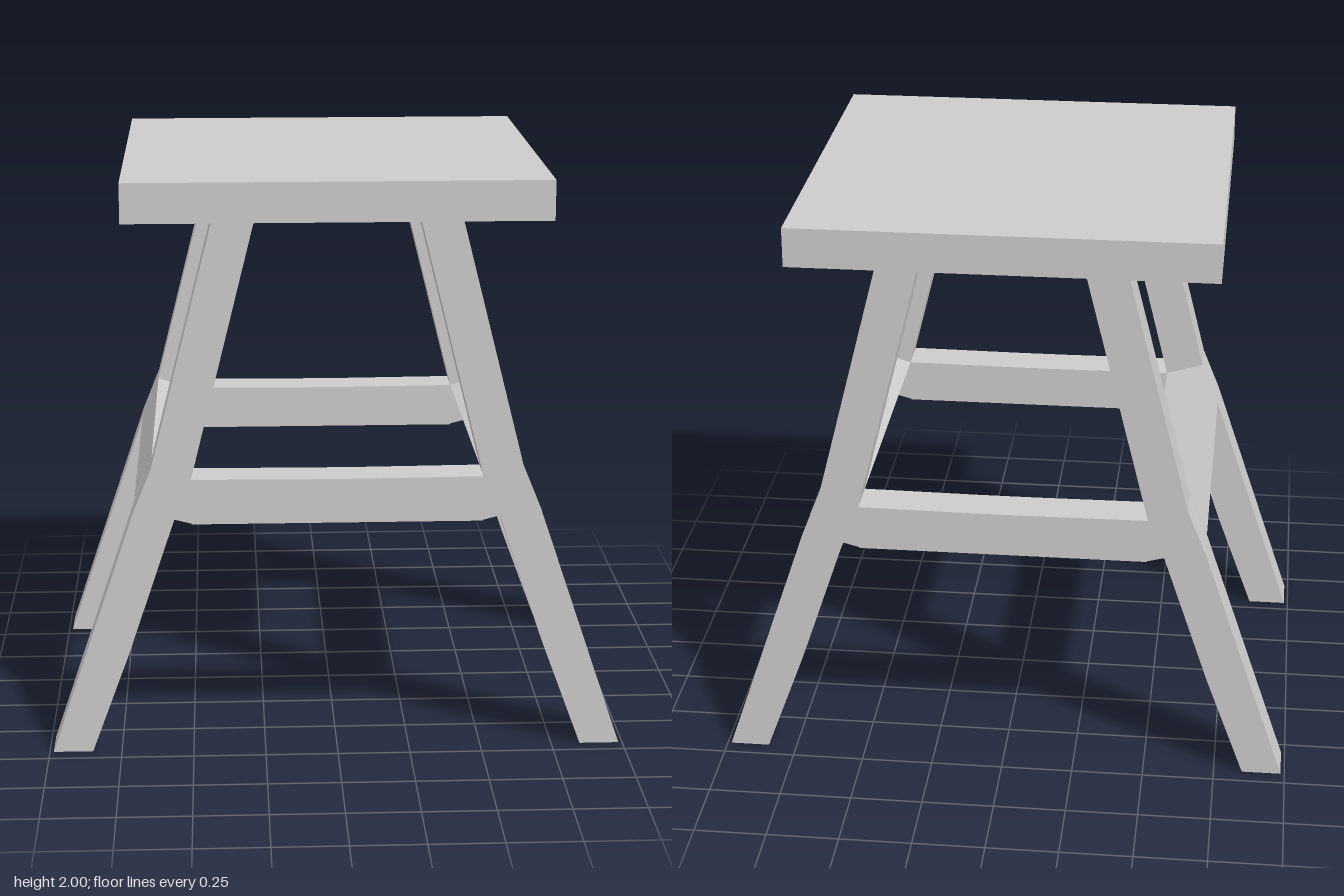
import * as THREE from 'three';

const material = new THREE.MeshStandardMaterial({ color: 0xcccccc, flatShading: true });

// Extrude an x-y outline along z, from z0 to z1
function prism(name, points, z0, z1) {
  const shape = new THREE.Shape(points.map(([x, y]) => new THREE.Vector2(x, y)));
  const geometry = new THREE.ExtrudeGeometry(shape, { depth: z1 - z0, bevelEnabled: false });
  geometry.translate(0, 0, z0);
  const mesh = new THREE.Mesh(geometry, material);
  mesh.name = name;
  return mesh;
}

const mirrorX = (points) => points.map(([x, y]) => [-x, y]).reverse();

export function createModel() {
  const group = new THREE.Group();
  group.name = 'stool';

  // Square seat slab
  const seat = new THREE.Mesh(new THREE.BoxGeometry(1.436, 0.136, 1.436), material);
  seat.name = 'seat';
  seat.position.y = 1.932;
  group.add(seat);

  // Splayed, kinked leg and half of the cross rail
  const legOutline = [
    [0.85, 0], [0.987, 0], [0.695, 0.865], [0.632, 1.02],
    [0.418, 1.865], [0.277, 1.865], [0.497, 0.98],
    [0.497, 0.825], [0.555, 0.84], [0.717, 0.36],
  ];
  const railOutline = [[-0.497, 0.822], [0.497, 0.822], [0.497, 0.98], [0.1, 0.977], [-0.1, 0.977], [-0.497, 0.98]];
  // Slanted side rail section
  const sideOutline = [[0.55, 0.853], [0.695, 0.868], [0.632, 1.02], [0.497, 0.98]];

  for (const [end, z0, z1] of [['front', 0.55, 0.692], ['back', -0.692, -0.55]]) {
    group.add(prism(end + 'LeftLeg', legOutline, z0, z1));
    group.add(prism(end + 'RightLeg', mirrorX(legOutline), z0, z1));
    group.add(prism(end + 'Rail', railOutline, z0, z1));
  }
  group.add(prism('leftRail', sideOutline, -0.55, 0.55));
  group.add(prism('rightRail', mirrorX(sideOutline), -0.55, 0.55));

  return group;
}
